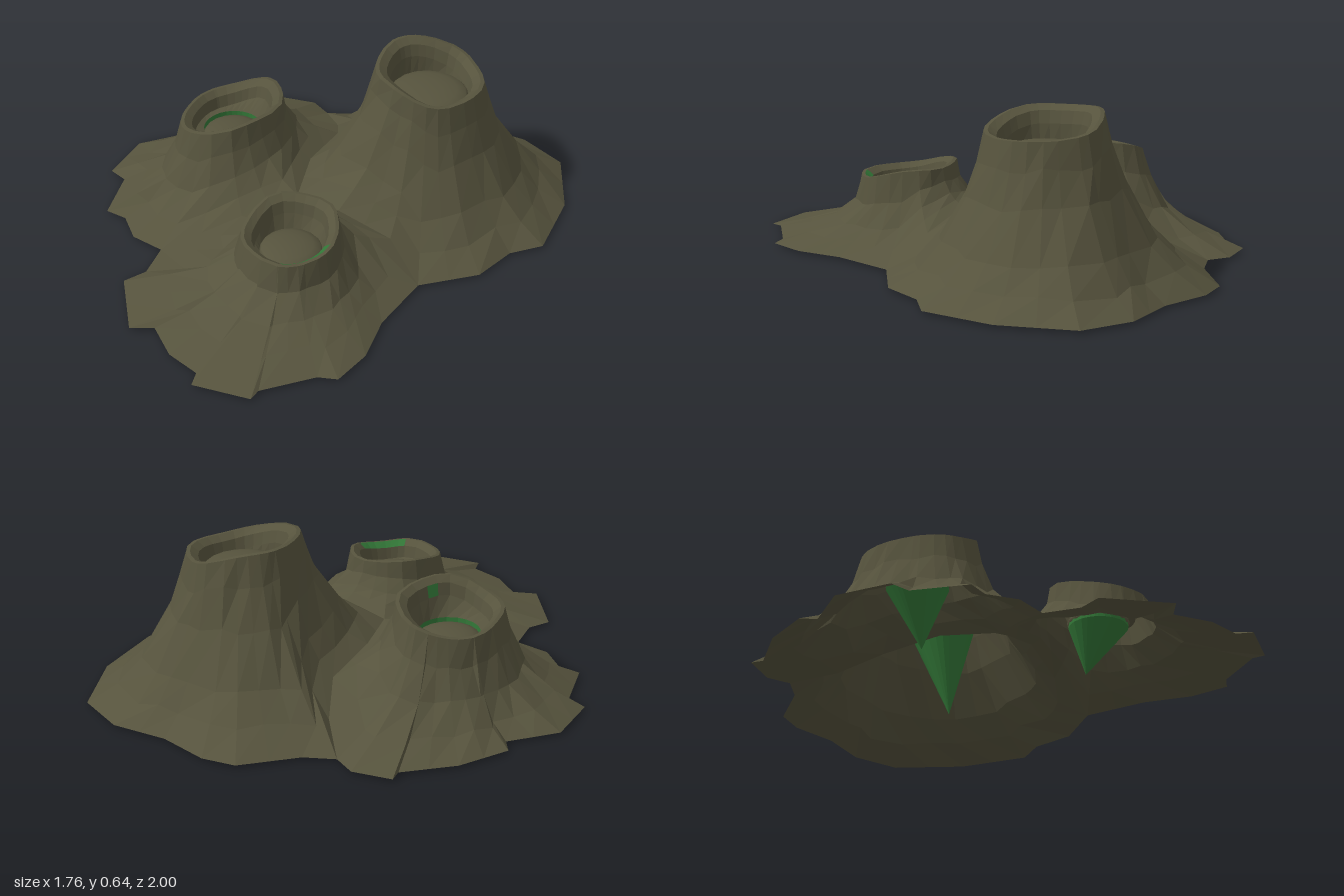
import * as THREE from 'three';

const rock = new THREE.MeshStandardMaterial({ color: 0x56533d, side: THREE.DoubleSide });
rock.name = 'mossy brown rock';
const green = new THREE.MeshStandardMaterial({ color: 0x337838, side: THREE.DoubleSide });
green.name = 'deep green';

// Small seeded noise in -1..1
let seed = 7;
const noise = () => {
  seed = (seed * 16807) % 2147483647;
  return (seed / 2147483647) * 2 - 1;
};

// Skin of closed rings (arrays of Vector3); keep(i) selects the columns
function loft(rings, keep = () => true) {
  const n = rings[0].length, index = [];
  for (let r = 0; r < rings.length - 1; r++) {
    for (let i = 0; i < n; i++) {
      if (!keep(i)) continue;
      const j = (i + 1) % n, a = r * n, b = a + n;
      index.push(a + i, b + i, a + j, a + j, b + i, b + j);
    }
  }
  const geo = new THREE.BufferGeometry().setFromPoints(rings.flat());
  geo.setIndex(index);
  const flat = geo.toNonIndexed();
  flat.computeVertexNormals();
  return flat;
}

function named(name, geo, mat) {
  const m = new THREE.Mesh(geo, mat);
  m.name = name;
  return m;
}

// Valleys shared by neighbouring mounds: [x, z, y]
const junction = [[0, 0.03, 0.17]];
const valleyBackLeft = [[-0.08, -0.2, 0.18], [-0.1, -0.45, 0.15], [-0.19, -0.6, 0.07], [-0.32, -0.73, 0.01]];
const valleyFrontLeft = [[-0.15, 0.2, 0.12], [-0.38, 0.43, 0.01]];
const valleyRight = [[0.2, 0.05, 0.19], [0.42, 0.03, 0.13], [0.58, 0.09, 0.01]];

// rx, rz, y: rim size and height; sx, sz: rim tilt
// spike: top radius, top height, height where it starts to taper; plugY: height of the crater floor
const MOUNDS = [
  {
    name: 'tallMound', x: 0.31, z: -0.45, rx: 0.21, rz: 0.22, y: 0.595, sx: -0.042, sz: 0,
    tip: [0.29, 0.015, -0.39], spike: [0.152, 0.47, 0.45], plugY: 0.49,
    profile: [[0.7, 0.12], [0.47, 0.28], [0.2, 0.58], [0.06, 0.82]],
    foot: [[0.75, -0.09], [0.79, -0.27], [0.88, -0.38], [0.84, -0.67], [0.70, -0.93], [0.50, -1.0],
      [0.28, -0.97], [0.08, -1.0], [-0.05, -0.97], [-0.21, -0.79]],
    valleys: [...junction, ...valleyBackLeft, ...valleyRight],
  },
  {
    name: 'leftMound', x: -0.385, z: -0.1, rx: 0.19, rz: 0.235, y: 0.385, sx: 0.04, sz: 0,
    tip: [-0.35, 0, -0.1], spike: [0.118, 0.28, 0.23], plugY: 0.25,
    greenArc: [0.05, 0.5], greenRing: 1,
    profile: [[0.62, 0.15], [0.28, 0.38], [0.08, 0.7]],
    foot: [[-0.41, -0.77], [-0.56, -0.73], [-0.55, -0.68], [-0.70, -0.52], [-0.79, -0.33], [-0.75, -0.28],
      [-0.88, -0.11], [-0.86, 0.11], [-0.78, 0.13], [-0.71, 0.34], [-0.62, 0.34], [-0.52, 0.42]],
    valleys: [...junction, ...valleyBackLeft, ...valleyFrontLeft],
  },
  {
    name: 'frontMound', x: 0.178, z: 0.36, rx: 0.178, rz: 0.195, y: 0.3, sx: -0.01, sz: -0.03,
    tip: [0.18, 0, 0.3], spike: [0.115, 0.2, 0.18], plugY: 0.2,
    greenArc: [-0.1, 1.1], greenRing: 0,
    profile: [[0.62, 0.16], [0.3, 0.32], [0.07, 0.62]],
    foot: [[-0.35, 0.57], [-0.39, 0.66], [-0.21, 0.87], [-0.13, 0.82], [0, 0.91], [0.14, 0.94], [0.16, 1.0],
      [0.38, 0.95], [0.38, 0.90], [0.52, 0.73], [0.59, 0.70], [0.61, 0.54], [0.57, 0.35]],
    valleys: [...junction, ...valleyFrontLeft, ...valleyRight],
  },
];

// Foot outline sorted around the mound, wide gaps split in half
function footRing(m) {
  const pts = [...m.foot.map(([x, z]) => [x, z, 0.01]), ...m.valleys].map(([x, z, y]) => new THREE.Vector3(x, y, z));
  const angle = (p) => Math.atan2(p.z - m.z, p.x - m.x);
  pts.sort((a, b) => angle(a) - angle(b));
  const foot = [];
  pts.forEach((p, i) => {
    const q = pts[(i + 1) % pts.length];
    foot.push(p);
    const gap = (angle(q) - angle(p) + Math.PI * 2) % (Math.PI * 2);
    if (gap > 0.36) foot.push(p.clone().lerp(q, 0.5));
  });
  return { foot, angles: foot.map(angle) };
}

function buildMound(m) {
  const group = new THREE.Group();
  group.name = m.name;
  const { foot, angles } = footRing(m);
  const n = foot.length;

  // Uneven tilted rim
  const rim = angles.map((a) => {
    const c = Math.cos(a), s = Math.sin(a), k = 1 + 0.025 * Math.sin(5 * a + m.x * 9);
    const y = m.y + m.sx * c + m.sz * s + 0.007 * Math.sin(3 * a + m.z * 9);
    return new THREE.Vector3(m.x + c * m.rx * k, y, m.z + s * m.rz * k);
  });

  // Notches in the foot fade out up the slope
  const reach = foot.map((f) => Math.hypot(f.x - m.x, f.z - m.z));
  const softFoot = foot.map((f, i) => {
    const r = (reach[(i + n - 1) % n] + reach[i] + reach[(i + 1) % n]) / 3;
    return new THREE.Vector3(m.x + Math.cos(angles[i]) * r, f.y, m.z + Math.sin(angles[i]) * r);
  });

  // Flared outer slope with slightly rough rings
  const slope = m.profile.map(([t, h]) => foot.map((f, i) => {
    const p = rim[i].clone().lerp(t < 0.35 ? softFoot[i] : f, t + noise() * 0.02);
    p.y = f.y + (rim[i].y - f.y) * (h + noise() * 0.025);
    return p;
  }));
  group.add(named('slope', loft([foot, ...slope, rim]), rock));

  // Green spike: a short collar tapering to a point
  const [radius, topY, taperY] = m.spike;
  const circle = (y) => angles.map((a) =>
    new THREE.Vector3(m.x + Math.cos(a) * radius, y, m.z + Math.sin(a) * radius));
  const tip = new THREE.Vector3(...m.tip);
  const spikeTop = circle(topY);
  group.add(named('spike', loft([angles.map(() => tip), circle(taperY), spikeTop]), green));

  // Crater lip and throat running down to the spike, with a green patch on one side
  const inset = (k, dy) => rim.map((p) => new THREE.Vector3(m.x + (p.x - m.x) * k, p.y + dy, m.z + (p.z - m.z) * k));
  const throat = [inset(0.93, 0.002), inset(0.79, -0.018), inset(0.73, -0.065), spikeTop];
  const isGreen = (i) => m.greenArc !== undefined && angles[i] > m.greenArc[0] && angles[i] < m.greenArc[1];
  group.add(named('craterLip', loft([rim, throat[0]]), rock));
  for (let r = 0; r < throat.length - 1; r++) {
    const band = throat.slice(r, r + 2);
    if (r === m.greenRing) {
      group.add(named('throatBand', loft(band, (i) => !isGreen(i)), rock));
      group.add(named('greenPatch', loft(band, isGreen), green));
    } else {
      group.add(named('throatBand', loft(band), rock));
    }
  }

  // Rounded plug filling the throat, its edge just breaking through the spike
  const disc = new THREE.SphereGeometry(1, 18, 8);
  disc.scale(radius + 0.006, 0.035, radius + 0.006);
  const plug = named('plug', disc, rock);
  plug.position.set(m.x, m.plugY, m.z);
  group.add(plug);
  return group;
}

export function createModel() {
  seed = 7;
  const model = new THREE.Group();
  model.name = 'craterMounds';
  MOUNDS.forEach((m) => model.add(buildMound(m)));
  return model;
}
